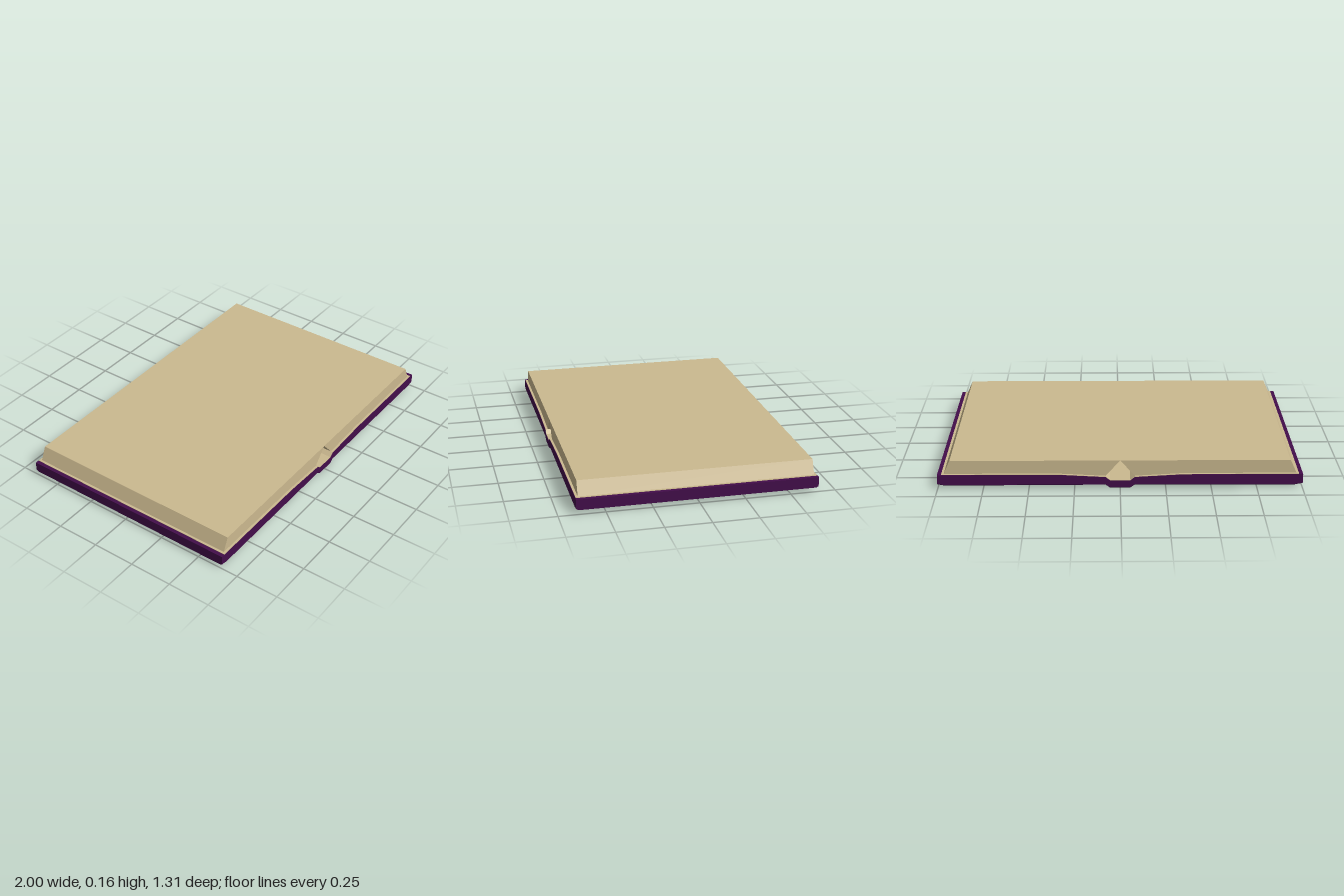
import * as THREE from 'three';

const coverPurple = new THREE.MeshStandardMaterial({ name: 'coverPurple', color: 0x430d4a });
const paperTan = new THREE.MeshStandardMaterial({ name: 'paperTan', color: 0xcbb98f });

// Mirror a right-hand list of [x, y] points to get the left-hand run
const mirror = (pts) => pts.map(([x, y]) => [-x, y]).reverse();

// Extrude an [x, y] outline along z, centred on z = 0
function prism(name, points, depth, material, steps = 1) {
  const shape = new THREE.Shape(points.map(([x, y]) => new THREE.Vector2(x, y)));
  const geometry = new THREE.ExtrudeGeometry(shape, { depth, steps, bevelEnabled: false });
  geometry.translate(0, 0, -depth / 2);
  const mesh = new THREE.Mesh(geometry, material);
  mesh.name = name;
  return mesh;
}

export function createModel() {
  const book = new THREE.Group();
  book.name = 'openBook';

  // Cover: two boards joined by a sunken spine, one closed outline
  const under = [[0.055, 0], [0.08, 0.018], [0.2, 0.018], [0.96, 0.016], [1, 0.024]];
  const inner = [[0.055, 0.048], [0.08, 0.068], [0.35, 0.083], [1, 0.083]];
  const outline = [...under, ...inner.slice().reverse(), ...mirror(inner).reverse(), ...mirror(under)];
  const cover = prism('cover', outline, 1.31, coverPurple, 3);

  // Chamfer the lower front and back edges
  const p = cover.geometry.attributes.position;
  for (let i = 0; i < p.count; i++) {
    const z = p.getZ(i), end = Math.abs(z) > 0.6;
    p.setZ(i, Math.sign(z) * (end ? 0.655 : 0.643));
    if (end && p.getY(i) < 0.03) p.setY(i, p.getY(i) + 0.008);
  }
  cover.geometry.computeVertexNormals();
  book.add(cover);

  // Endpaper: thin sheet following the inside of the cover
  const sheet = [[0.055, 0.048], [0.08, 0.068], [0.35, 0.083], [0.978, 0.083]];
  const lower = [...mirror(sheet), ...sheet];
  const upper = lower.map(([x, y]) => [x, y + 0.002]).reverse();
  book.add(prism('endpaper', [...lower, ...upper], 1.306, paperTan));

  // Page blocks: they meet along the top and part below to leave a gap over the spine
  const block = [[0, 0.161], [0.08, 0.07], [0.35, 0.084], [0.965, 0.084], [0.93, 0.161]];
  book.add(prism('leftPages', block, 1.28, paperTan));
  book.add(prism('rightPages', mirror(block), 1.28, paperTan));

  return book;
}
